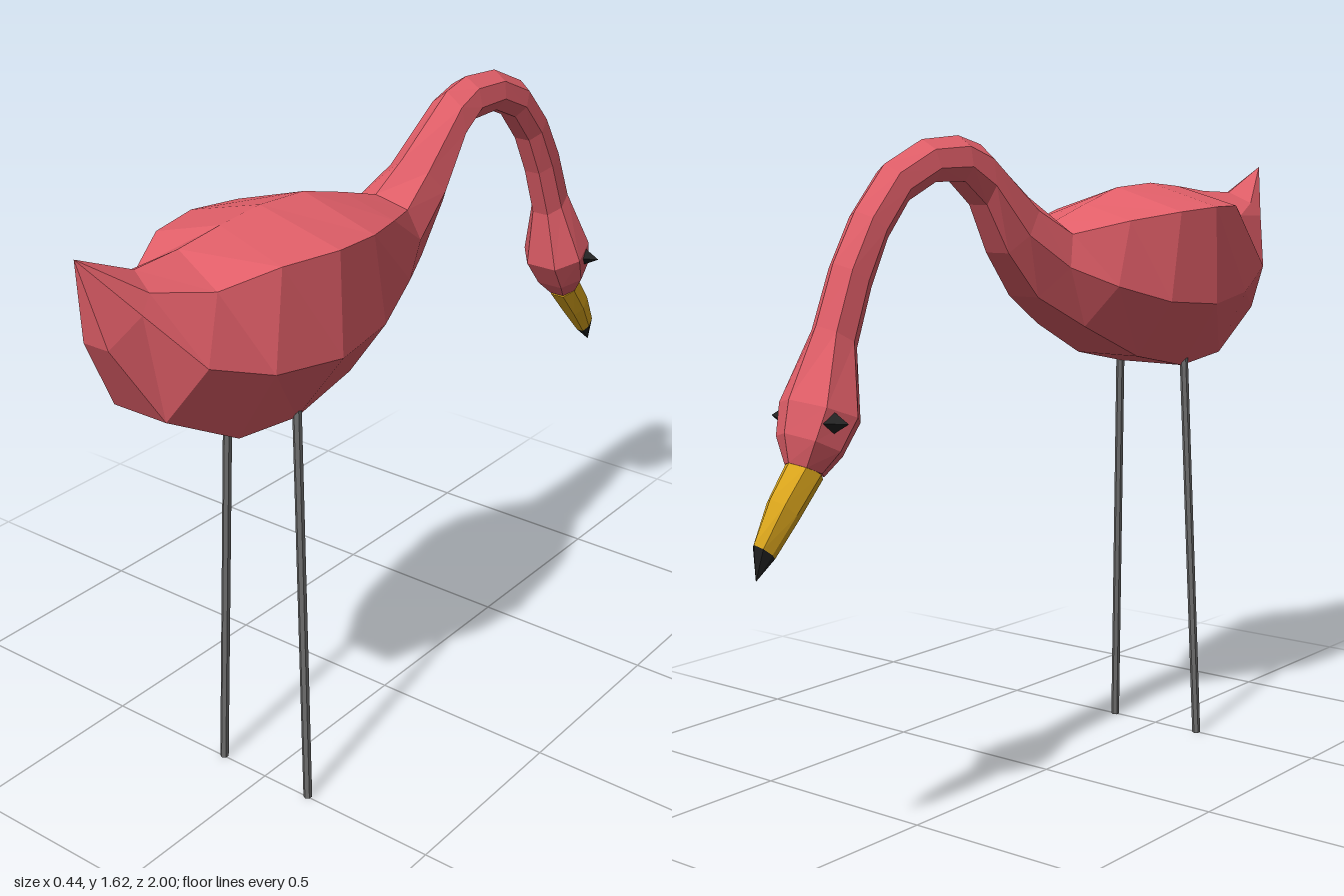
import * as THREE from 'three';

const mat = (color) => new THREE.MeshStandardMaterial({ color, flatShading: true });

// Seven-sided section: ridge point, then upper side, lower side and belly corners.
// top = [z, y], others = [halfWidth, z, y]
function section(top, upper, lower, belly) {
  const v = ([x, z, y], s) => new THREE.Vector3(s * x, y, z);
  return [
    v([0, ...top], 1), v(upper, 1), v(lower, 1), v(belly, 1),
    v(belly, -1), v(lower, -1), v(upper, -1),
  ];
}

// Section spanned between a ridge point and an underside point, w = half width
function tubeSection(tz, ty, bz, by, w) {
  const at = (f, k) => [w * k, tz + (bz - tz) * f, ty + (by - ty) * f];
  return section([tz, ty], at(0.24, 0.8), at(0.68, 1), at(1, 0.5));
}

// Skins a list of sections running towards -z and closes both ends
function loft(rings) {
  const pos = [];
  const tri = (a, b, c) => {
    const area = b.clone().sub(a).cross(c.clone().sub(a)).length();
    if (area > 1e-9) pos.push(...a, ...b, ...c);
  };
  const n = rings[0].length;
  for (let i = 0; i < rings.length - 1; i++) {
    for (let j = 0; j < n; j++) {
      const k = (j + 1) % n;
      const [a, b, c, d] = [rings[i][j], rings[i][k], rings[i + 1][k], rings[i + 1][j]];
      tri(a, b, c);
      tri(a, c, d);
    }
  }
  const first = rings[0], last = rings[rings.length - 1];
  for (let j = 1; j < n - 1; j++) {
    tri(first[0], first[j + 1], first[j]);
    tri(last[0], last[j], last[j + 1]);
  }
  const g = new THREE.BufferGeometry();
  g.setAttribute('position', new THREE.Float32BufferAttribute(pos, 3));
  g.computeVertexNormals();
  return g;
}

export function createModel() {
  const model = new THREE.Group();
  const pink = mat(0xe4606a), yellow = mat(0xe2ab1e), black = mat(0x222222), grey = mat(0x6c6c6c);
  const add = (name, geometry, material) => {
    const mesh = new THREE.Mesh(geometry, material);
    mesh.name = name;
    model.add(mesh);
    return mesh;
  };

  // Body, from the pointed tail to the root of the neck
  const tip = [0, 1, 1.54];
  const body = [
    section([1, 1.54], tip, tip, tip),
    section([0.84, 1.47], [0.06, 0.86, 1.44], [0.072, 0.895, 1.405], [0.035, 0.96, 1.34]),
    section([0.71, 1.475], [0.115, 0.72, 1.41], [0.147, 0.79, 1.27], [0.075, 0.85, 1.15]),
    section([0.58, 1.49], [0.18, 0.59, 1.44], [0.19, 0.63, 1.21], [0.095, 0.65, 1.04]),
    section([0.45, 1.5], [0.215, 0.44, 1.44], [0.22, 0.44, 1.19], [0.1, 0.46, 1.02]),
    section([0.3, 1.49], [0.2, 0.3, 1.43], [0.2, 0.26, 1.205], [0.095, 0.26, 1.06]),
    section([0.16, 1.45], [0.145, 0.155, 1.41], [0.15, 0.1, 1.25], [0.075, 0.06, 1.15]),
    section([0.035, 1.41], [0.075, 0.01, 1.38], [0.092, -0.02, 1.3], [0.045, -0.09, 1.23]),
  ];

  // Curved neck and head: ridge z, y, underside z, y, half width
  const neck = [
    [-0.07, 1.47, -0.19, 1.34, 0.07],
    [-0.25, 1.595, -0.26, 1.455, 0.055],
    [-0.33, 1.615, -0.335, 1.51, 0.05],
    [-0.455, 1.605, -0.435, 1.51, 0.047],
    [-0.58, 1.55, -0.525, 1.47, 0.045],
    [-0.675, 1.45, -0.595, 1.39, 0.045],
    [-0.745, 1.34, -0.65, 1.285, 0.045],
    [-0.8, 1.21, -0.7, 1.155, 0.047],
    [-0.885, 1.06, -0.715, 0.995, 0.09],
    [-0.9, 0.99, -0.765, 0.925, 0.075],
    [-0.89, 0.925, -0.805, 0.885, 0.042],
  ].map((r) => tubeSection(...r));
  add('bodyNeckAndHead', loft([...body, ...neck]), pink);

  // Beak with dark tip
  const beakEnd = tubeSection(-0.995, 0.765, -0.945, 0.727, 0.02);
  add('beak', loft([
    tubeSection(-0.885, 0.93, -0.808, 0.88, 0.04),
    tubeSection(-0.945, 0.855, -0.88, 0.8, 0.034),
    beakEnd,
  ]), yellow);
  add('beakTip', loft([beakEnd, tubeSection(-0.992, 0.685, -0.992, 0.685, 0)]), black);

  for (const side of [1, -1]) {
    const label = side > 0 ? 'left' : 'right';

    // Pointed eye sticking out sideways
    const eye = add(label + 'Eye', new THREE.ConeGeometry(0.027, 0.05, 4), black);
    eye.rotation.z = -side * Math.PI / 2;
    eye.position.set(side * 0.092, 1.01, -0.825);

    // Thin leg, splayed slightly outwards
    const hip = new THREE.Vector3(side * 0.103, 1.06, 0.463);
    const foot = new THREE.Vector3(side * 0.138, 0, 0.498);
    const leg = add(label + 'Leg', new THREE.CylinderGeometry(0.011, 0.011, hip.distanceTo(foot), 6), grey);
    leg.position.copy(hip).add(foot).multiplyScalar(0.5);
    leg.quaternion.setFromUnitVectors(new THREE.Vector3(0, 1, 0), hip.clone().sub(foot).normalize());
  }
  return model;
}
